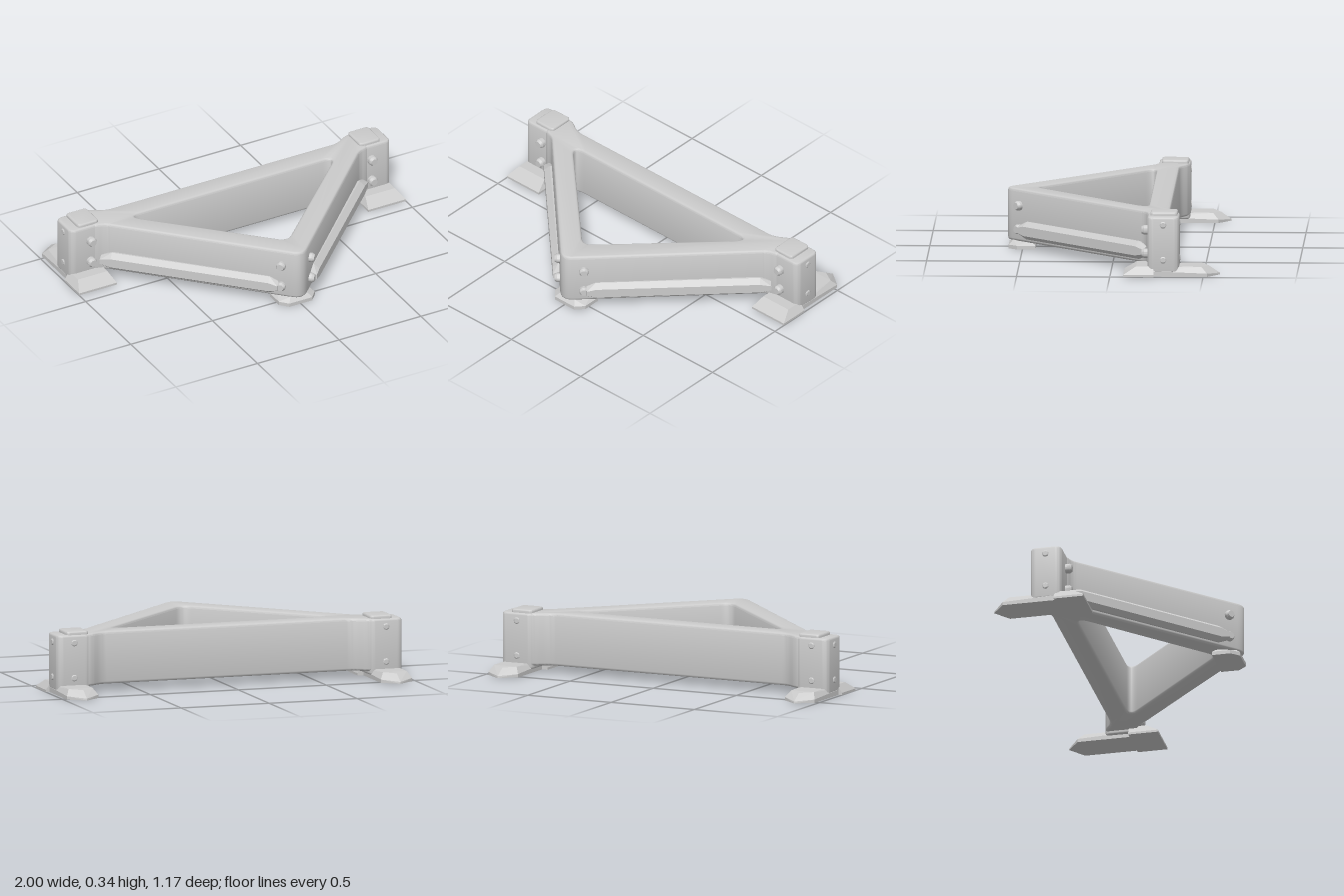
import * as THREE from 'three';
import { toCreasedNormals } from 'three/addons/utils/BufferGeometryUtils.js';
import { ConvexGeometry } from 'three/addons/geometries/ConvexGeometry.js';

const material = new THREE.MeshStandardMaterial({ color: 0xcccccc });

function addMesh(parent, name, geometry) {
  const mesh = new THREE.Mesh(geometry, material);
  mesh.name = name;
  parent.add(mesh);
  return mesh;
}

// Trace a polygon of [x, z, cornerRadius] with rounded corners
function rounded(points, path) {
  const n = points.length;
  points.forEach(([x, z, r], i) => {
    const p = new THREE.Vector2(x, -z);
    const toward = ([qx, qz]) => new THREE.Vector2(qx, -qz).sub(p).setLength(r).add(p);
    const a = toward(points[(i + n - 1) % n]);
    const b = toward(points[(i + 1) % n]);
    if (i === 0) path.moveTo(a.x, a.y);
    else path.lineTo(a.x, a.y);
    path.quadraticCurveTo(p.x, p.y, b.x, b.y);
  });
  path.closePath();
  return path;
}

// Upright prism between two heights with softened rims
function prism(shape, y0, y1, bevel) {
  const g = new THREE.ExtrudeGeometry(shape, {
    depth: y1 - y0 - 2 * bevel, bevelThickness: bevel, bevelSize: bevel,
    bevelOffset: -bevel, bevelSegments: 3, curveSegments: 8,
  });
  g.rotateX(-Math.PI / 2).translate(0, y0 + bevel, 0);
  return toCreasedNormals(g, 0.6);
}

function block(x0, x1, z0, z1, y0, y1, r, bevel) {
  const pts = [[x0, z1, r], [x1, z1, r], [x1, z0, r], [x0, z0, r]];
  return prism(rounded(pts, new THREE.Shape()), y0, y1, bevel);
}

// Convex solid from a bottom and a top outline of [x, z, y]
function wedge(points) {
  return new ConvexGeometry(points.map(([x, z, y]) => new THREE.Vector3(x, y, z)));
}

// Domed bolt head pointing along a horizontal direction
function addBolt(parent, name, position, direction, radius = 0.026, length = 0.045) {
  const profile = [[0, 0], [radius, 0], [radius, length * 0.7], [radius * 0.7, length], [0, length]];
  const g = toCreasedNormals(
    new THREE.LatheGeometry(profile.map(([x, y]) => new THREE.Vector2(x, y)), 16), 0.5);
  const bolt = addMesh(parent, name, g);
  bolt.position.set(...position);
  bolt.quaternion.setFromUnitVectors(new THREE.Vector3(0, 1, 0), direction);
}

function createSide(s) {
  const side = new THREE.Group();
  side.name = s > 0 ? 'leftSide' : 'rightSide';
  const mx = (a, b) => (s > 0 ? [a, b] : [-b, -a]);

  // Corner post with raised cap
  addMesh(side, 'cornerPost', block(...mx(0.79, 0.98), -0.37, -0.2, 0.02, 0.322, 0.035, 0.012));
  addMesh(side, 'postCap', block(...mx(0.8, 0.925), -0.36, -0.215, 0.3, 0.34, 0.02, 0.008));

  // Broad front foot with sloping edges
  const front = [];
  for (const x of [0.77, 1]) for (const z of [-0.235, -0.072]) {
    front.push([s * x, z, 0], [s * x, z, 0.012]);
  }
  for (const x of [0.79, 0.97]) for (const z of [-0.235, -0.14]) front.push([s * x, z, 0.054]);
  addMesh(side, 'frontFoot', wedge(front));

  // Pointed rear foot
  const rear = [[0.89, -0.588, 0], [0.89, -0.586, 0.01], [0.89, -0.53, 0.048]];
  for (const x of [0.802, 0.98]) {
    rear.push([x, -0.52, 0], [x, -0.52, 0.018], [x, -0.2, 0], [x, -0.2, 0.03]);
  }
  for (const x of [0.825, 0.96]) rear.push([x, -0.49, 0.052], [x, -0.39, 0.052], [x, -0.2, 0.04]);
  addMesh(side, 'rearFoot', wedge(rear.map(([x, z, y]) => [s * x, z, y])));

  // Side rail: ridged bar with narrowed ends, running along the diagonal beam
  const along = new THREE.Vector3(s * 0.7, 0, -0.7).normalize();
  const out = new THREE.Vector3(s, 0, 1).normalize();
  const start = new THREE.Vector3(s * 0.09, 0.108, 0.5);
  const rail = [[0, 0.025], [0.05, 0.048], [0.93, 0.048], [0.99, 0.025]];
  const section = [[-1, -0.02], [-1, 0.018], [-0.55, 0.045], [0.5, 0.045], [1, 0.014], [1, -0.02]];
  const points = [];
  for (const [t, h] of rail) for (const [v, d] of section) {
    points.push(start.clone().addScaledVector(along, t).addScaledVector(out, d)
      .add(new THREE.Vector3(0, v * h, 0)));
  }
  addMesh(side, 'sideRail', new ConvexGeometry(points));

  // Bolts at both ends of the beam
  const forward = new THREE.Vector3(0, 0, 1);
  for (const y of [0.108, 0.235]) {
    addBolt(side, 'apexBolt', [s * 0.075, y, 0.505], out);
    addBolt(side, 'postBolt', [s * 0.86, y, -0.21], forward);
  }

  // Small studs on the outer and rear post faces
  for (const y of [0.09, 0.28]) {
    addBolt(side, 'postStud', [s * 0.972, y, -0.285], new THREE.Vector3(s, 0, 0), 0.018, 0.014);
    addBolt(side, 'postStud', [s * 0.885, y, -0.363], new THREE.Vector3(0, 0, -1), 0.018, 0.012);
  }
  return side;
}

export function createModel() {
  const model = new THREE.Group();
  model.name = 'triangularBaseFrame';

  // Triangular frame with flared shoulders and an open centre
  const outline = rounded([
    [0, 0.605, 0.07], [0.78, -0.185, 0.03], [0.84, -0.2, 0.02], [0.84, -0.365, 0.01],
    [0.785, -0.365, 0.03], [0.71, -0.315, 0.04],
    [-0.71, -0.315, 0.04], [-0.785, -0.365, 0.03],
    [-0.84, -0.365, 0.01], [-0.84, -0.2, 0.02], [-0.78, -0.185, 0.03],
  ], new THREE.Shape());
  outline.holes.push(rounded(
    [[0, 0.43, 0.06], [-0.635, -0.195, 0.08], [0.635, -0.195, 0.08]], new THREE.Path()));
  addMesh(model, 'frame', prism(outline, 0.04, 0.324, 0.014));

  // Front apex foot
  const foot = [];
  for (const s of [-1, 1]) {
    foot.push([s * 0.11, 0.43, 0], [s * 0.11, 0.43, 0.02], [s * 0.11, 0.53, 0], [s * 0.11, 0.53, 0.02],
      [s * 0.07, 0.575, 0], [s * 0.07, 0.575, 0.02], [s * 0.08, 0.45, 0.045], [s * 0.05, 0.55, 0.045]);
  }
  addMesh(model, 'apexFoot', wedge(foot));

  for (const s of [1, -1]) model.add(createSide(s));
  return model;
}
